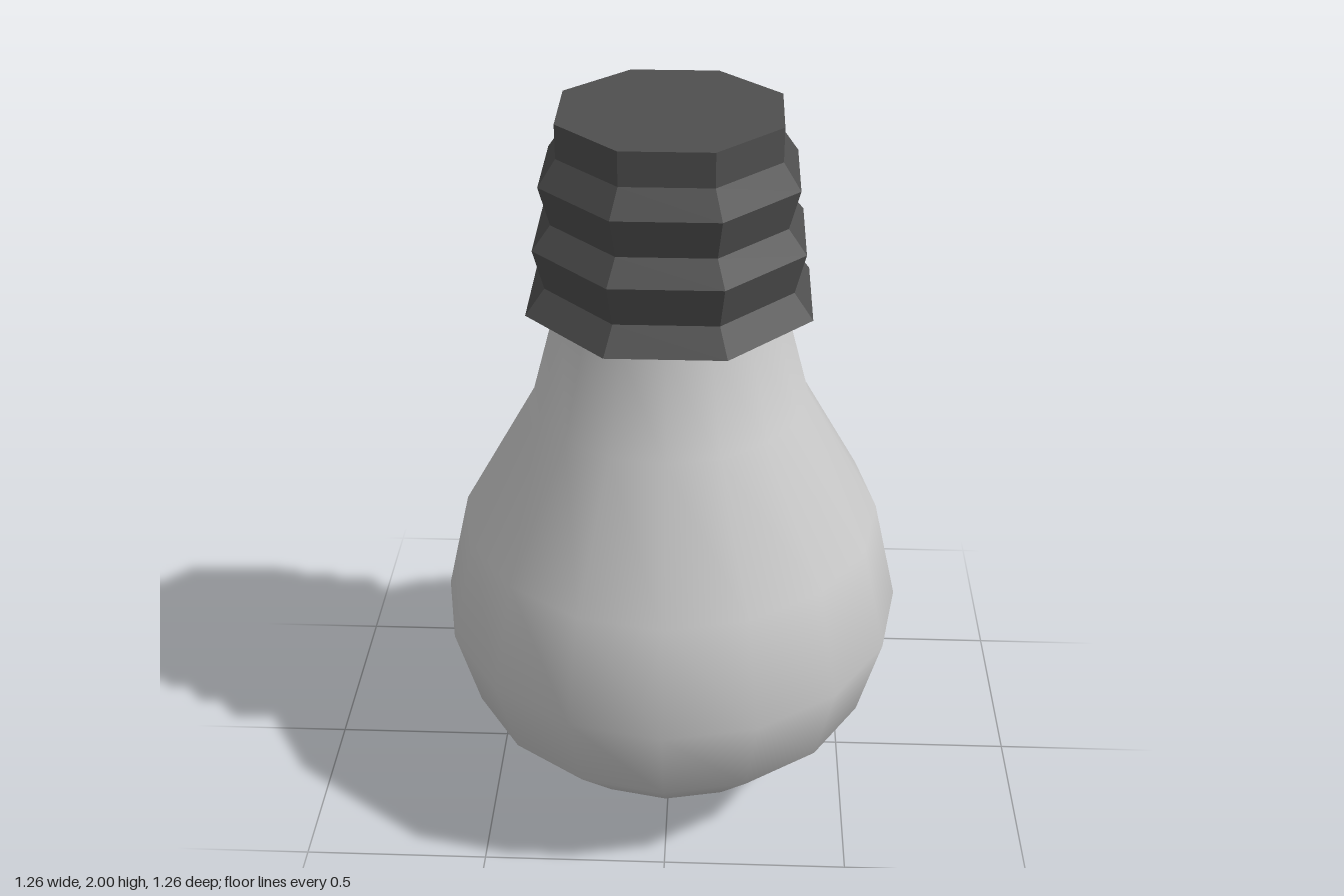
import * as THREE from 'three';

// Turns [radius, height] pairs, listed from bottom to top, into a lathe mesh
function turned(name, profile, sides, phiStart, material) {
  const points = profile.map(([r, y]) => new THREE.Vector2(r, y));
  const mesh = new THREE.Mesh(new THREE.LatheGeometry(points, sides, phiStart), material);
  mesh.name = name;
  return mesh;
}

export function createModel() {
  const model = new THREE.Group();
  model.name = 'lightBulb';

  // Smooth glass bulb with a pointed bottom and a slim neck
  const glass = new THREE.MeshStandardMaterial({ color: 0xcccccc });
  model.add(turned('glassBulb', [
    [0, 0], [0.4, 0.145], [0.57, 0.335], [0.63, 0.58],
    [0.56, 0.875], [0.36, 1.23], [0.29, 1.49],
  ], 16, 0, glass));

  // Faceted eight-sided screw base, flats facing the axes, ridges narrowing upwards
  const metal = new THREE.MeshStandardMaterial({ color: 0x4f4f4f, flatShading: true });
  const toCorner = 1 / Math.cos(Math.PI / 8); // flat distance to corner radius
  const ridges = [
    [0, 1.49], [0.295, 1.49], [0.353, 1.52], [0.305, 1.585], [0.33, 1.69],
    [0.285, 1.75], [0.31, 1.85], [0.267, 1.915], [0.267, 2], [0, 2],
  ].map(([flat, y]) => [flat * toCorner, y]);
  model.add(turned('screwBase', ridges, 8, Math.PI / 8, metal));

  return model;
}
